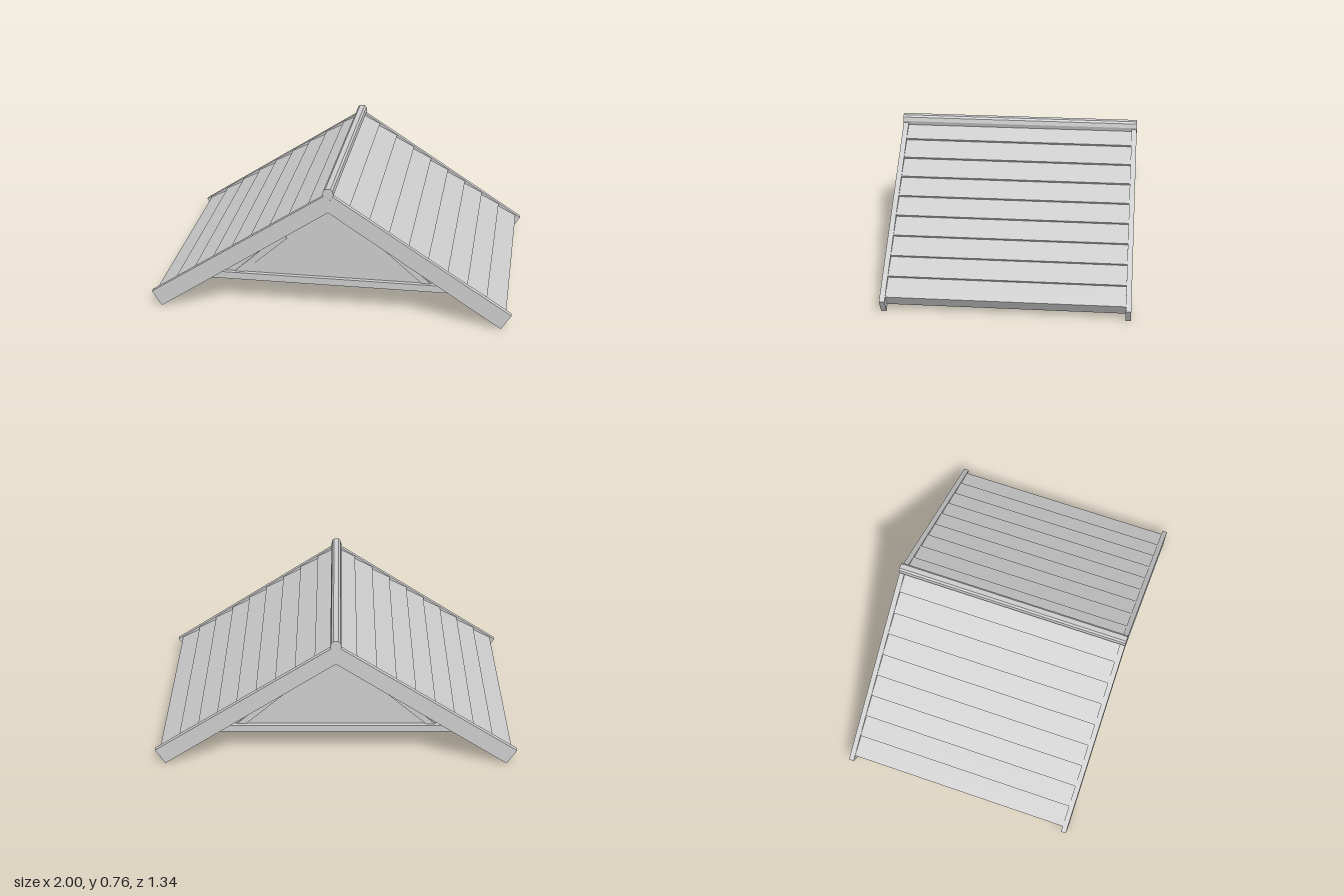
import * as THREE from 'three';

const SLOPE = 0.655;   // roof pitch, rise over run

export function createModel() {
  const root = new THREE.Group();
  root.name = 'gableRoof';
  const grey = new THREE.MeshStandardMaterial({ color: 0xcccccc });
  grey.name = 'plainGrey';

  // Extrudes an x/y outline from z0 to z1
  function prism(name, points, z0, z1, parent = root) {
    const shape = new THREE.Shape(points.map(([x, y]) => new THREE.Vector2(x, y)));
    const geometry = new THREE.ExtrudeGeometry(shape, { depth: z1 - z0, bevelEnabled: false });
    geometry.translate(0, 0, z0);
    const mesh = new THREE.Mesh(geometry, grey);
    mesh.name = name;
    parent.add(mesh);
    return mesh;
  }
  // Closes a half outline (listed from top to bottom) by mirroring it in x
  const mirrored = (half) => [
    ...half,
    ...half.slice().reverse().filter(([x]) => x !== 0).map(([x, y]) => [-x, y]),
  ];
  // Outline of an inverted V
  const chevron = (top, outer, inner, bottom) => [
    [0, top], outer, inner, [0, bottom], [-inner[0], inner[1]], [-outer[0], outer[1]],
  ];

  // Roof deck under the planks
  prism('roofDeck', chevron(0.718, [0.963, 0.087], [0.928, 0.034], 0.636), -0.64, 0.64);

  // Lapped planks, each with a raised lower lip
  const run = 0.107, rise = 0.0702;
  for (const side of [-1, 1]) {
    for (let i = 0; i < 9; i++) {
      const x = 0.97 - run * i, y = 0.098 + rise * i;
      const outline = [
        [x, y],
        [x - run - 0.007, y + rise - 0.011],
        [x - 0.007, y - 0.011],
      ];
      prism('roofPlank', outline.map(([px, py]) => [px * side, py]), -0.64, 0.64);
    }
  }

  // Ridge cap
  prism('ridgeCap', mirrored([
    [0.014, 0.765], [0.025, 0.755], [0.03, 0.732], [0.02, 0.705],
  ]), -0.67, 0.67);

  // Both gable ends share the same parts, turned to face outwards
  for (const [name, turn] of [['frontGable', 0], ['backGable', Math.PI]]) {
    const gable = new THREE.Group();
    gable.name = name;
    gable.rotation.y = turn;
    root.add(gable);

    prism('bargeBoard', chevron(0.738, [1, 0.084], [0.946, 0], 0.628), 0.64, 0.669, gable);
    prism('ridgePeg', [[-0.014, 0.704], [0, 0.69], [0.014, 0.704]], 0.665, 0.672, gable);

    // Wall panel and the tie beam below it
    const edge = (y) => (0.64 - y) / SLOPE;
    prism('gableWall', [[0, 0.64], [-edge(0.16), 0.16], [edge(0.16), 0.16]], 0.50, 0.545, gable);
    prism('tieBeam', mirrored([[edge(0.185), 0.185], [edge(0.145), 0.145]]), 0.485, 0.57, gable);

    // Raised trim along the rake, with a knee brace on each side
    prism('rakeTrim', chevron(0.64, [edge(0.18), 0.18], [0.626, 0.18], 0.59), 0.54, 0.556, gable);
    for (const side of [-1, 1]) {
      const brace = [[0.25, 0.405], [0.262, 0.425], [0.372, 0.347], [0.555, 0.18], [0.505, 0.18]];
      prism('kneeBrace', brace.map(([x, y]) => [x * side, y]), 0.54, 0.552, gable);
    }
  }
  return root;
}
